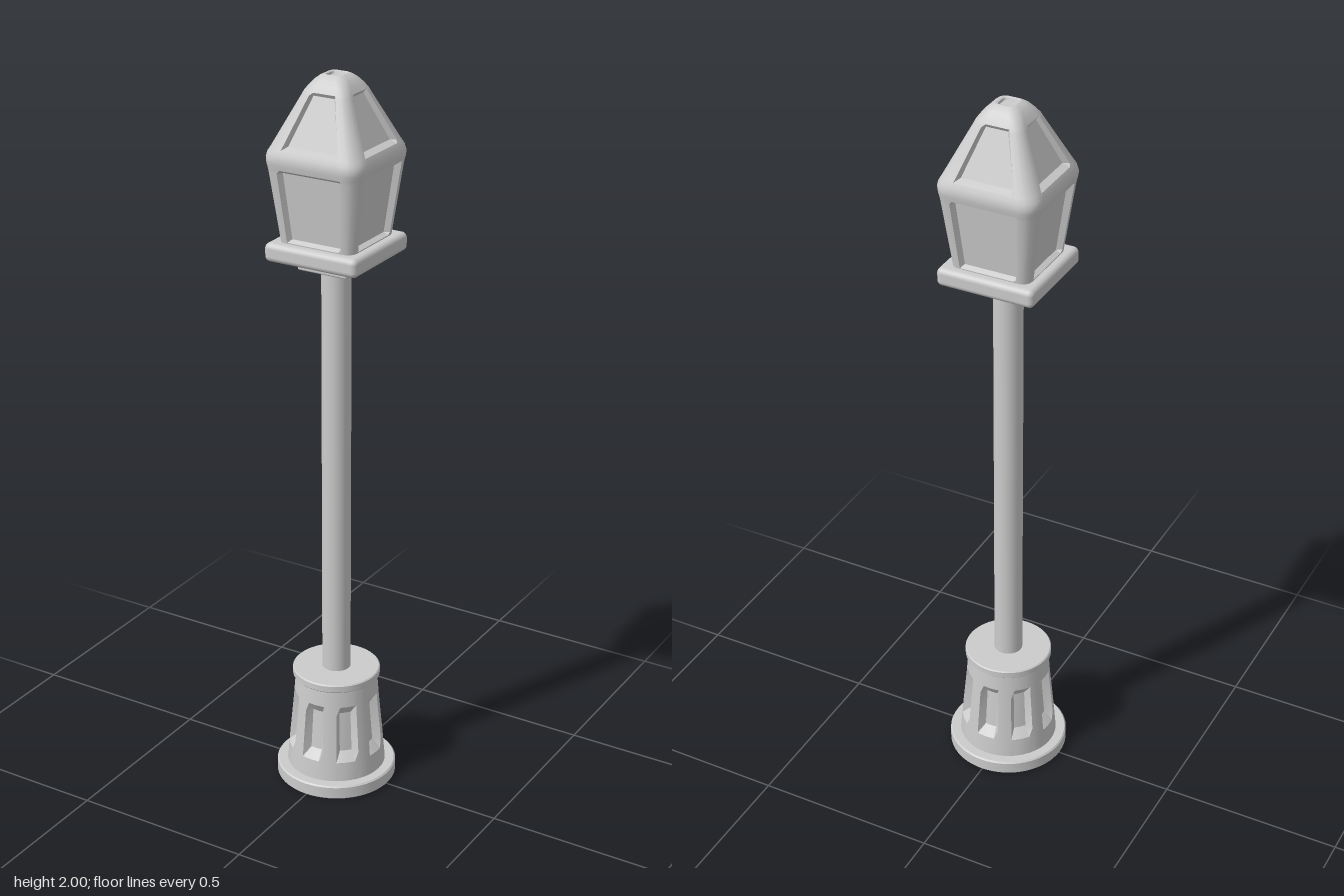
import * as THREE from 'three';
import { toCreasedNormals } from 'three/addons/utils/BufferGeometryUtils.js';
import { RoundedBoxGeometry } from 'three/addons/geometries/RoundedBoxGeometry.js';

const material = new THREE.MeshStandardMaterial({ color: 0xcccccc });

function add(group, name, geometry, y = 0) {
  const mesh = new THREE.Mesh(geometry, material);
  mesh.name = name;
  mesh.position.y = y;
  group.add(mesh);
  return mesh;
}

// Skin a stack of closed loops (bottom to top), capping both ends.
function skin(loops, crease) {
  const n = loops[0].length;
  const points = loops.flat();
  const index = [];
  loops.slice(1).forEach((_, j) => {
    for (let i = 0; i < n; i++) {
      const a = j * n + i, b = j * n + (i + 1) % n;
      index.push(a, b, b + n, a, b + n, a + n);
    }
  });
  const last = (loops.length - 1) * n;
  const bottom = points.push(new THREE.Vector3(0, loops[0][0].y, 0)) - 1;
  const top = points.push(new THREE.Vector3(0, loops.at(-1)[0].y, 0)) - 1;
  for (let i = 0; i < n; i++) {
    const k = (i + 1) % n;
    index.push(bottom, k, i, top, last + i, last + k);
  }
  const geometry = new THREE.BufferGeometry().setFromPoints(points);
  geometry.setIndex(index);
  return toCreasedNormals(geometry, crease);
}

// Round loop with eight slots; inset is the slot depth at this height.
function slottedLoop([y, radius, inset]) {
  const loop = [];
  for (let k = 0; k < 8; k++) {
    for (const deg of [-14, -9, 0, 9, 14, 18.5, 22.5, 26.5]) {
      const a = THREE.MathUtils.degToRad(k * 45 + deg);
      const r = radius - (Math.abs(deg) < 10 ? inset : 0);
      loop.push(new THREE.Vector3(r * Math.sin(a), y, r * Math.cos(a)));
    }
  }
  return loop;
}

// Rounded square loop: half width h, corner radius r, window half width w, pane depth inset.
function lanternLoop([y, h, r, w, inset]) {
  const c = h - r;
  const bevel = Math.min(0.008, w * 0.3);
  const side = [
    [-c, h], [-w, h], [-w + bevel, h - inset], [w - bevel, h - inset], [w, h], [c, h],
  ];
  for (const deg of [22.5, 45, 67.5]) {
    const t = THREE.MathUtils.degToRad(deg);
    side.push([c + r * Math.sin(t), c + r * Math.cos(t)]);
  }
  const loop = [];
  for (let k = 0; k < 4; k++) {
    for (const [x, z] of side) {
      loop.push(new THREE.Vector3(x, y, z).applyAxisAngle(THREE.Object3D.DEFAULT_UP, k * Math.PI / 2));
    }
  }
  return loop;
}

// Disc with a small edge bevel.
function disc(radius, y0, y1, bevel) {
  const profile = [
    [0, y0], [radius - bevel, y0], [radius, y0 + bevel],
    [radius, y1 - bevel], [radius - bevel, y1], [0, y1],
  ].map(([x, y]) => new THREE.Vector2(x, y));
  return toCreasedNormals(new THREE.LatheGeometry(profile, 64), 0.6);
}

export function createModel() {
  const model = new THREE.Group();
  model.name = 'streetLamp';

  // Pedestal
  const base = new THREE.Group();
  base.name = 'base';
  model.add(base);
  add(base, 'footDisc', disc(0.165, 0, 0.04, 0.004));
  add(base, 'slottedPedestal', skin([
    [0.038, 0.136, 0],
    [0.095, 0.131, 0],
    [0.12, 0.129, 0.022],
    [0.235, 0.118, 0.02],
    [0.262, 0.116, 0],
    [0.312, 0.112, 0],
  ].map(slottedLoop), 0.45));
  add(base, 'pedestalCollar', disc(0.12, 0.31, 0.333, 0.003));

  // Pole
  add(model, 'pole', new THREE.CylinderGeometry(0.039, 0.039, 1.19, 32), 0.915);

  // Lantern
  const lantern = new THREE.Group();
  lantern.name = 'lantern';
  model.add(lantern);
  add(lantern, 'mountPlate', new RoundedBoxGeometry(0.145, 0.036, 0.145, 2, 0.005), 1.513);
  add(lantern, 'tray', new RoundedBoxGeometry(0.27, 0.05, 0.27, 4, 0.015), 1.55);
  add(lantern, 'lanternHead', skin([
    // lower windows
    [1.57, 0.109, 0.026, 0.077, 0],
    [1.578, 0.11, 0.027, 0.078, 0],
    [1.585, 0.111, 0.028, 0.079, 0.014],
    [1.762, 0.134, 0.038, 0.092, 0.016],
    [1.772, 0.136, 0.04, 0.092, 0],
    // rounded shoulder
    [1.785, 0.139, 0.042, 0.09, 0],
    [1.797, 0.14, 0.043, 0.088, 0],
    [1.81, 0.137, 0.043, 0.085, 0],
    // upper windows
    [1.822, 0.131, 0.042, 0.082, 0],
    [1.83, 0.127, 0.041, 0.079, 0.015],
    [1.952, 0.069, 0.026, 0.038, 0.01],
    [1.961, 0.065, 0.025, 0.036, 0],
    // rounded cap with a shallow square dimple
    [1.976, 0.055, 0.024, 0.026, 0],
    [1.988, 0.045, 0.022, 0.018, 0],
    [1.996, 0.035, 0.018, 0.013, 0],
    [2.0, 0.026, 0.012, 0.01, 0],
    [1.998, 0.021, 0.009, 0.008, 0],
    [1.992, 0.019, 0.008, 0.008, 0],
  ].map(lanternLoop), 0.6));

  return model;
}
